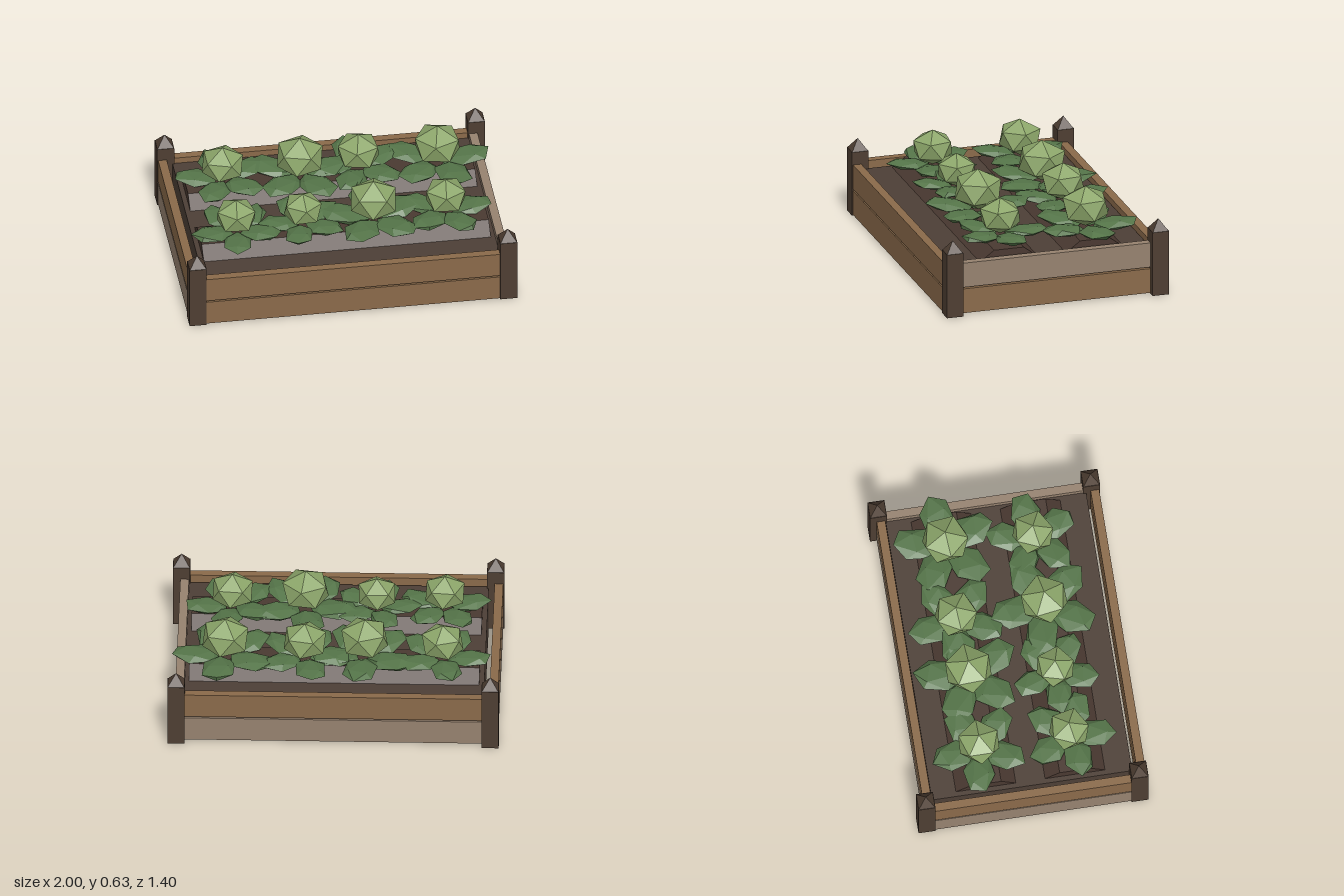
import * as THREE from 'three';

const paint = (name, color) => {
  const m = new THREE.MeshStandardMaterial({ color, flatShading: true });
  m.name = name;
  return m;
};

export function createModel() {
  const wood = paint('brown wood', 0x8a6a4a);
  const weathered = paint('weathered wood', 0x96826f);
  const postWood = paint('dark post wood', 0x4e3e32);
  const soilMat = paint('soil', 0x4d3f36);
  const ridgeMat = paint('ridge soil', 0x4a3931);
  const leafMat = paint('outer leaf green', 0x557549);
  const headMat = paint('head green', 0x8ca66a);

  const model = new THREE.Group();
  model.name = 'raisedGardenBed';

  const add = (parent, name, geometry, material, x, y, z) => {
    const mesh = new THREE.Mesh(geometry, material);
    mesh.name = name;
    mesh.position.set(x, y, z);
    parent.add(mesh);
    return mesh;
  };

  let seed = 7;
  const random = () => (seed = (seed * 16807) % 2147483647) / 2147483647;

  // Corner posts with pyramid caps
  const postGeo = new THREE.BoxGeometry(0.104, 0.405, 0.104);
  const capGeo = new THREE.ConeGeometry(0.05 * Math.SQRT2, 0.07, 4).rotateY(Math.PI / 4);
  for (const x of [-0.947, 0.947]) {
    for (const z of [-0.65, 0.65]) {
      add(model, 'cornerPost', postGeo, postWood, x, 0.2025, z);
      add(model, 'postCap', capGeo, postWood, x, 0.44, z);
    }
  }

  // Two boards per side: [name, x, z, width, depth, lower colour, upper colour]
  const sides = [
    ['frontBoard', 0, 0.67, 1.79, 0.052, wood, wood],
    ['backBoard', 0, -0.635, 1.79, 0.052, weathered, wood],
    ['rightBoard', 0.928, 0, 0.052, 1.2, wood, weathered],
    ['leftBoard', -0.967, 0, 0.052, 1.2, weathered, wood],
  ];
  for (const [name, x, z, w, d, lower, upper] of sides) {
    const geo = new THREE.BoxGeometry(w, 0.155, d);
    add(model, name + 'Lower', geo, lower, x, 0.0825, z);
    add(model, name + 'Upper', geo, upper, x, 0.2475, z);
  }

  // Soil filling and two planting ridges with a hexagonal section
  add(model, 'soil', new THREE.BoxGeometry(1.806, 0.285, 1.222), soilMat, -0.002, 0.1475, 0.006);
  const ridgeGeo = new THREE.CylinderGeometry(0.187, 0.187, 1.75, 6)
    .rotateZ(Math.PI / 2).rotateX(Math.PI / 2);
  ridgeGeo.computeBoundingBox();
  // Turn the section so a flat side faces up, then squash it
  if (ridgeGeo.boundingBox.max.y > 0.18) ridgeGeo.rotateX(Math.PI / 6);
  ridgeGeo.scale(1, 0.43, 1);
  for (const z of [-0.272, 0.272]) add(model, 'soilRidge', ridgeGeo, ridgeMat, 0, 0.287, z);

  // Cabbage head: a squashed icosahedron standing on a corner
  const tilt = Math.atan(2 / (1 + Math.sqrt(5)));
  const headGeo = new THREE.IcosahedronGeometry(1, 0).rotateZ(-tilt).scale(1, 0.82, 1);

  // Cabbages: [x, z, head radius, angle of first leaf in degrees]
  const cabbages = [
    [-0.65, -0.28, 0.14, 260], [-0.18, -0.27, 0.157, 278],
    [0.18, -0.29, 0.143, 257], [0.66, -0.28, 0.155, 282],
    [-0.65, 0.27, 0.134, 95], [-0.24, 0.25, 0.128, 107],
    [0.19, 0.25, 0.157, 265], [0.63, 0.25, 0.138, 281],
  ];
  for (const [x, z, r, start] of cabbages) {
    const cabbage = new THREE.Group();
    cabbage.name = 'cabbage';
    cabbage.position.set(x, 0.37, z);
    model.add(cabbage);

    const head = add(cabbage, 'cabbageHead', headGeo, headMat, 0, 0.82 * r, 0);
    head.scale.setScalar(r);
    head.rotation.y = random() * 6;

    // Five flattened leaves, tilted slightly upward toward the tip
    for (let i = 0; i < 5; i++) {
      const a = THREE.MathUtils.degToRad(start + i * 72);
      const geo = new THREE.IcosahedronGeometry(1, 0)
        .rotateX(random() * 0.6).rotateY(random() * 6)
        .scale(1.02 * r, 0.2 * r, 0.7 * r)
        .rotateZ(0.1)
        .translate(1.14 * r, 0.012, 0)
        .rotateY(-a);
      add(cabbage, 'outerLeaf', geo, leafMat, 0, 0, 0);
    }
  }

  return model;
}
